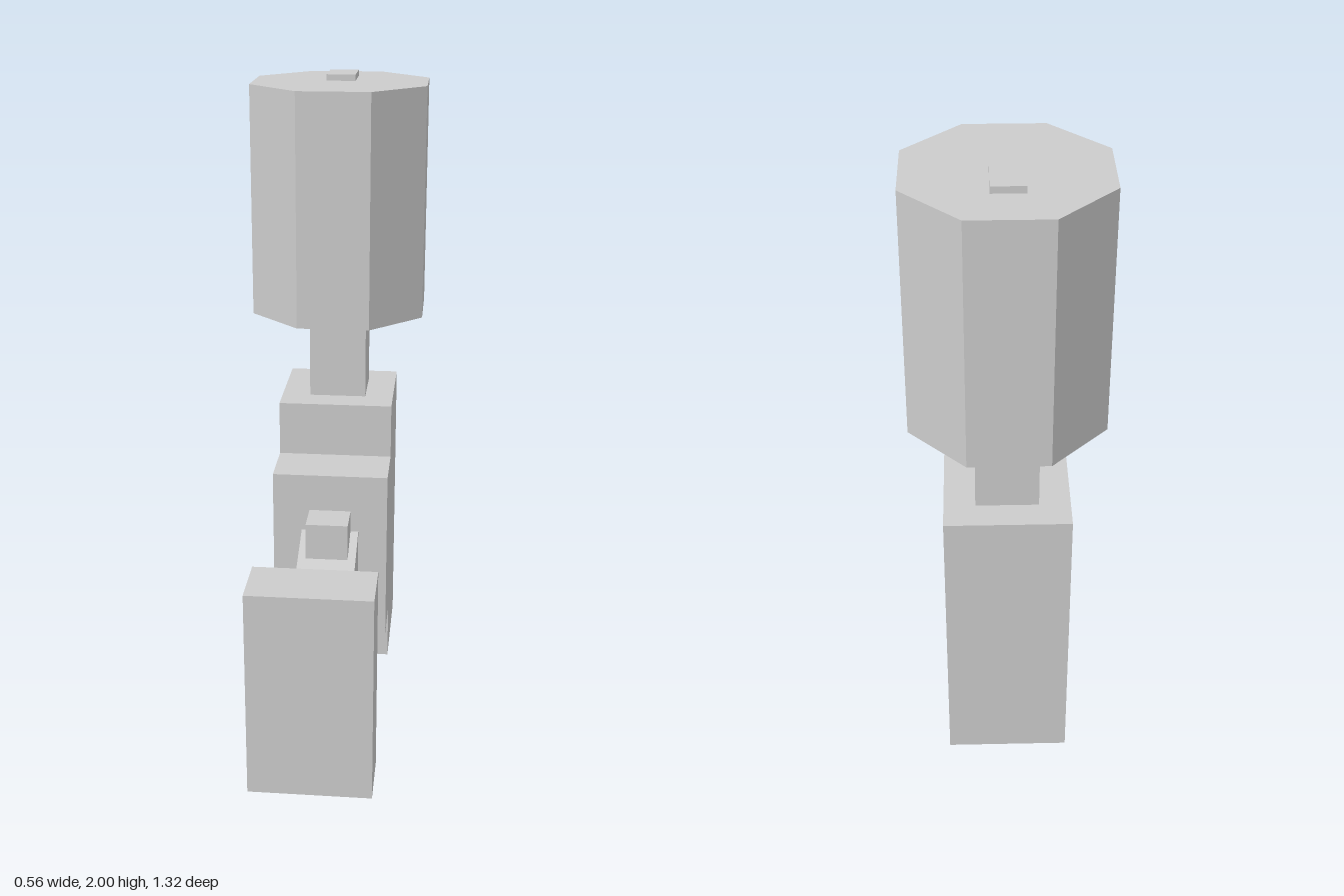
import * as THREE from 'three';

const material = new THREE.MeshStandardMaterial({ color: 0xcccccc, flatShading: true });

function add(group, name, geometry) {
  const mesh = new THREE.Mesh(geometry, material);
  mesh.name = name;
  group.add(mesh);
  return mesh;
}

// Box given by half width and its y and z ranges
function box(group, name, halfWidth, y0, y1, z0, z1) {
  const mesh = add(group, name, new THREE.BoxGeometry(halfWidth * 2, y1 - y0, z1 - z0));
  mesh.position.set(0, (y0 + y1) / 2, (z0 + z1) / 2);
}

// Side profile of [z, y] points, extruded across the width
function profile(group, name, halfWidth, points) {
  const shape = new THREE.Shape(points.map(([z, y]) => new THREE.Vector2(-z, y)));
  const geometry = new THREE.ExtrudeGeometry(shape, { depth: halfWidth * 2, bevelEnabled: false });
  geometry.translate(0, 0, -halfWidth);
  geometry.rotateY(Math.PI / 2);
  add(group, name, geometry);
}

export function createModel() {
  const model = new THREE.Group();
  model.name = 'model';

  // Stepped main body
  profile(model, 'body', 0.188, [
    [-0.56, 0], [-0.188, 0], [-0.188, 0.19], [0, 0.19],
    [0, 0.76], [-0.188, 0.76], [-0.188, 0.94], [-0.56, 0.94],
  ]);

  // Sloping arm, the front block it carries and the small stop above it
  profile(model, 'arm', 0.094, [[0, 0.265], [0.475, 0.07], [0.475, 0.37], [0, 0.565]]);
  box(model, 'frontBlock', 0.188, 0, 0.66, 0.475, 0.66);
  box(model, 'stop', 0.068, 0.5, 0.637, 0, 0.117);

  // Neck and octagonal drum with flats facing the axes
  box(model, 'neck', 0.094, 0.94, 1.23, -0.47, -0.282);
  const radius = 0.281 / Math.cos(Math.PI / 8);
  const drumGeometry = new THREE.CylinderGeometry(radius, radius, 0.75, 8);
  drumGeometry.rotateY(Math.PI / 8);
  add(model, 'drum', drumGeometry).position.set(0, 1.605, -0.377);

  // Raised tab on the drum
  box(model, 'topTab', 0.047, 1.97, 2, -0.518, -0.377);

  return model;
}
